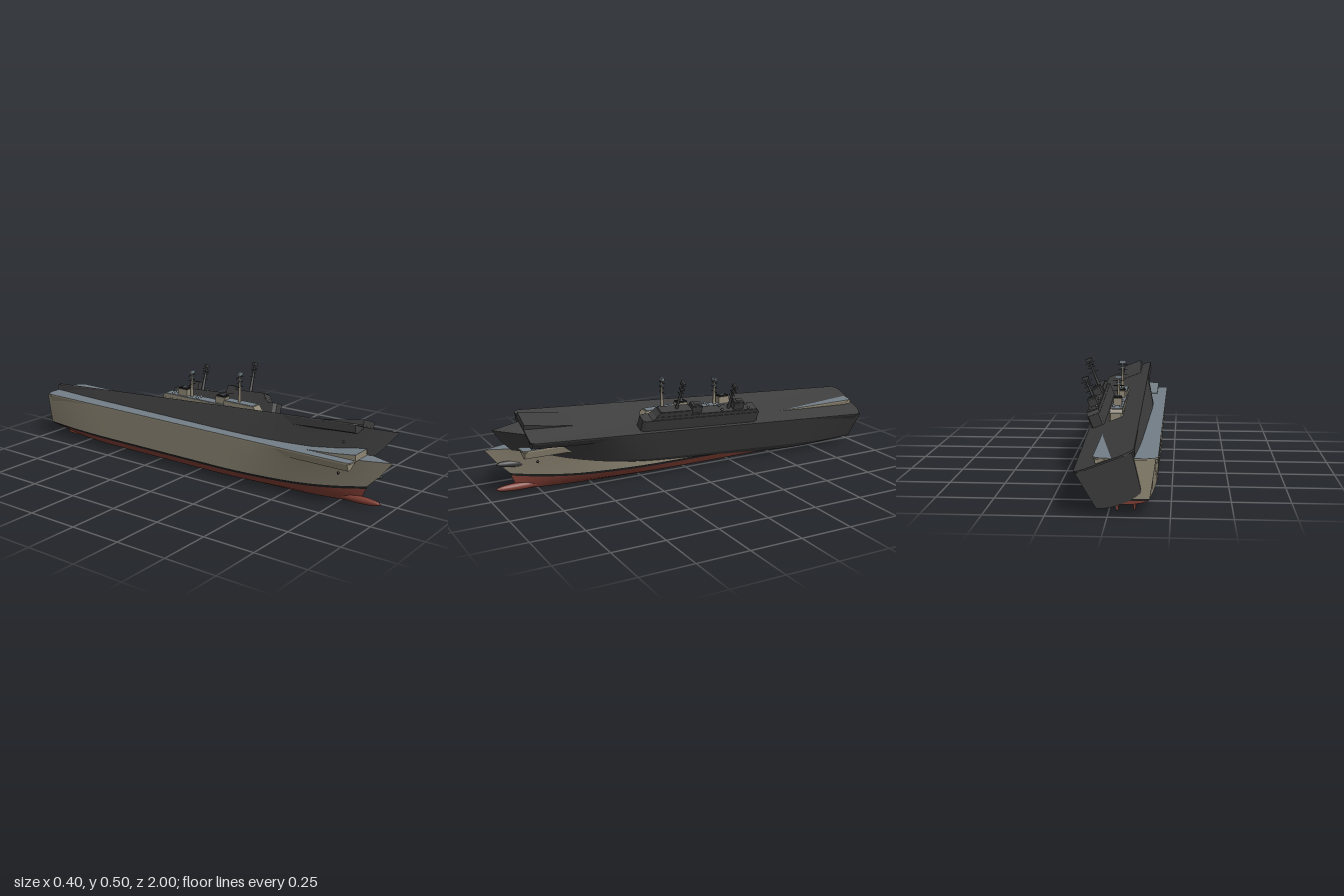
import * as THREE from 'three';
import { toCreasedNormals } from 'three/addons/utils/BufferGeometryUtils.js';

const STERN = -0.98;

// Hull waterlines from keel to deck: height, half width, stem position,
// length of the bow taper, upward sweep at bow and stern, stern width
const LEVELS = [
  { y: 0, w: 0, bow: 0.82, run: 0.8, rise: 0.015, lift: 0.045, aft: 0.7 },
  { y: 0, w: 0.045, bow: 0.82, run: 0.8, rise: 0.015, lift: 0.045, aft: 0.7 },
  { y: 0.02, w: 0.095, bow: 0.86, run: 0.8, rise: 0.02, lift: 0.032, aft: 0.72 },
  { y: 0.052, w: 0.115, bow: 0.88, run: 0.75, rise: 0.034, lift: 0.008, aft: 0.8 },
  { y: 0.064, w: 0.119, bow: 0.885, run: 0.75, rise: 0.034, lift: 0.004, aft: 0.82 },
  { y: 0.15, w: 0.125, bow: 0.94, run: 0.65, rise: 0, lift: 0, aft: 0.88 },
  { y: 0.226, w: 0.13, bow: 1.0, run: 0.55, rise: 0, lift: 0, aft: 0.93 },
  { y: 0.226, w: 0, bow: 1.0, run: 0.55, rise: 0, lift: 0, aft: 0.93 },
];

function hullPoint(level, k, n, side) {
  const u = 1 - Math.pow(1 - Math.max(0, k - 1) / (n - 1), 1.5);
  const z = STERN + (level.bow - STERN) * u;
  const entry = Math.sin(Math.PI / 2 * Math.min(1, (level.bow - z) / level.run));
  const back = Math.max(0, (-0.55 - z) / 0.43) ** 2;
  const front = Math.max(0, (z - 0.5) / 0.4) ** 2;
  const w = k === 0 ? 0 : level.w * entry * (1 - (1 - level.aft) * back);
  return [side * w, level.y + level.rise * Math.min(1, front) + level.lift * back, z];
}

// A band of hull plating between two waterlines, both sides and transom
function hullBand(from, to) {
  const n = 30, pos = [];
  for (const side of [1, -1])
    for (let i = from; i < to; i++)
      for (let k = 0; k < n; k++) {
        const a = hullPoint(LEVELS[i], k, n, side), b = hullPoint(LEVELS[i + 1], k, n, side);
        const c = hullPoint(LEVELS[i], k + 1, n, side), d = hullPoint(LEVELS[i + 1], k + 1, n, side);
        const tris = side > 0 ? [a, b, c, b, d, c] : [a, c, b, b, c, d];
        tris.forEach((p) => pos.push(...p));
      }
  const geo = new THREE.BufferGeometry();
  geo.setAttribute('position', new THREE.Float32BufferAttribute(pos, 3));
  return toCreasedNormals(geo, 0.5);
}

function polygon(points) {
  return new THREE.Shape(points.map(([x, y]) => new THREE.Vector2(x, y)));
}

// Outline in x and z raised to a flat slab
function slab(points, y0, y1) {
  const geo = new THREE.ExtrudeGeometry(polygon(points.map(([x, z]) => [x, -z])), { depth: y1 - y0, bevelEnabled: false });
  return geo.rotateX(-Math.PI / 2).translate(0, y0, 0);
}

// Outline in z and y extruded across from x0 to x1
function sideProfile(points, x0, x1) {
  const geo = new THREE.ExtrudeGeometry(polygon(points.map(([z, y]) => [-z, y])), { depth: x1 - x0, bevelEnabled: false });
  return geo.rotateY(Math.PI / 2).translate(x0, 0, 0);
}

function box(x0, x1, y0, y1, z0, z1) {
  return new THREE.BoxGeometry(x1 - x0, y1 - y0, z1 - z0).translate((x0 + x1) / 2, (y0 + y1) / 2, (z0 + z1) / 2);
}

function createShip(name, paint) {
  const ship = new THREE.Group();
  ship.name = name;
  const add = (part, geo, mat) => {
    const mesh = new THREE.Mesh(geo, mat);
    mesh.name = part;
    ship.add(mesh);
    return mesh;
  };

  // Hull
  add('lowerHull', hullBand(0, 3), paint.bottom);
  add('waterlineStripe', hullBand(3, 4), paint.stripe);
  add('upperHull', hullBand(4, 6), paint.hull);
  add('foredeck', hullBand(6, 7), paint.deck);
  add('bulbousBow', new THREE.SphereGeometry(1, 20, 14).scale(0.018, 0.018, 0.12).translate(0, 0.025, 0.835), paint.bottom);
  for (const s of [-1, 1]) {
    add('rudder', box(s * 0.035 - 0.004, s * 0.035 + 0.004, 0.004, 0.045, -0.91, -0.84), paint.bottom);
    add('anchor', new THREE.SphereGeometry(0.006, 8, 6).translate(s * 0.06, 0.15, 0.77), paint.stripe);
    // Overhang below the flight deck edge
    const section = polygon([[s * 0.04, 0.226], [s * 0.13, 0.226], [s * 0.118, 0.192], [s * 0.1, 0.19]]);
    add('deckOverhang', new THREE.ExtrudeGeometry(section, { depth: 1.8, bevelEnabled: false }).translate(0, 0, -0.95), paint.hull);
  }

  // Flight deck with chamfered corners
  const outline = [[-0.13, -0.955], [-0.115, -0.975], [-0.085, -0.985], [0.085, -0.985], [0.115, -0.975], [0.13, -0.955],
    [0.13, 0.84], [0.12, 0.86], [-0.12, 0.86], [-0.13, 0.84]];
  add('flightDeck', slab(outline, 0.225, 0.232), [paint.deck, paint.hull]);

  // Take-off ramp
  add('rampBody', sideProfile([[0.62, 0.23], [0.862, 0.23], [0.862, 0.256], [0.74, 0.24]], -0.08, 0.023), paint.hull);
  const rampTop = sideProfile([[0.62, 0.231], [0.74, 0.24], [0.862, 0.256], [0.862, 0.258], [0.74, 0.242], [0.62, 0.233]], -0.08, 0.023);
  add('rampSurface', rampTop, paint.deck);

  // Island
  const base = [[0.052, -0.31], [0.06, -0.325], [0.108, -0.325], [0.115, -0.31], [0.115, 0.3], [0.105, 0.315], [0.062, 0.315], [0.052, 0.3]];
  add('islandBase', slab(base, 0.23, 0.29), [paint.deck, paint.hull]);
  add('islandUpper', sideProfile([[-0.32, 0.288], [0.27, 0.288], [0.245, 0.306], [-0.31, 0.306]], 0.053, 0.112), paint.hull);
  add('islandRoof', box(0.055, 0.11, 0.306, 0.309, -0.305, 0.242), paint.deck);
  add('bridge', sideProfile([[0.06, 0.305], [0.25, 0.305], [0.235, 0.328], [0.06, 0.328]], 0.056, 0.11), paint.hull);
  add('bridgeRoof', box(0.058, 0.108, 0.328, 0.331, 0.065, 0.23), paint.deck);
  for (const z of [0.035, -0.2]) {
    add('funnel', box(0.062, 0.102, 0.3, 0.342, z - 0.028, z + 0.028), paint.hull);
    add('funnelCap', box(0.064, 0.1, 0.342, 0.349, z - 0.025, z + 0.025), paint.stripe);
    add('funnelVent', box(0.073, 0.091, 0.349, 0.352, z - 0.013, z + 0.013), paint.deck);
  }
  for (const x of [0.065, 0.098])
    for (const z of [-0.11, -0.26])
      add('roofDome', new THREE.SphereGeometry(0.007, 10, 8).translate(x, 0.312, z), paint.deck);

  // Masts with yardarms and radar panels
  for (const [z, top] of [[0.137, 0.465], [-0.155, 0.43]]) {
    const h = top - 0.3;
    add('mast', new THREE.CylinderGeometry(0.004, 0.009, h, 8).translate(0.082, 0.3 + h / 2, z), paint.hull);
    add('radarPanel', box(0.066, 0.098, top - 0.003, top + 0.012, z - 0.006, z + 0.006), paint.deck);
    [[0.012, 0.027], [0.037, 0.024], [0.06, 0.025]].forEach(([drop, half]) =>
      add('yardarm', box(0.082 - half, 0.082 + half, top - drop - 0.0012, top - drop + 0.0012, z - 0.0015, z + 0.0015), paint.stripe));
    add('mastPlatform', box(0.069, 0.095, top - 0.028, top - 0.022, z - 0.009, z + 0.009), paint.deck);
  }
  return ship;
}

export function createModel() {
  const material = (name, color) => Object.assign(new THREE.MeshStandardMaterial({ color }), { name });
  const hull = material('beige paint', 0x8f8775);
  const deck = material('grey deck', 0x737e86);
  const bottom = material('red bottom paint', 0x7d3c32);
  const stripe = material('black trim', 0x1c1c1c);
  const dark = material('charcoal', 0x3d3d3d);

  const model = new THREE.Group();
  model.name = 'carrierPair';

  // Painted ship, upright
  const painted = createShip('paintedShip', { hull, deck, bottom, stripe });
  painted.position.set(-0.07, 0, 0);

  // Charcoal ship, rolled to its left with the bow raised
  const charcoal = createShip('charcoalShip', { hull: dark, deck: dark, bottom: dark, stripe: dark });
  charcoal.position.set(-0.068, 0.0657, 0);
  charcoal.rotation.set(-0.064, 0, -0.375);

  model.add(painted, charcoal);
  return model;
}
